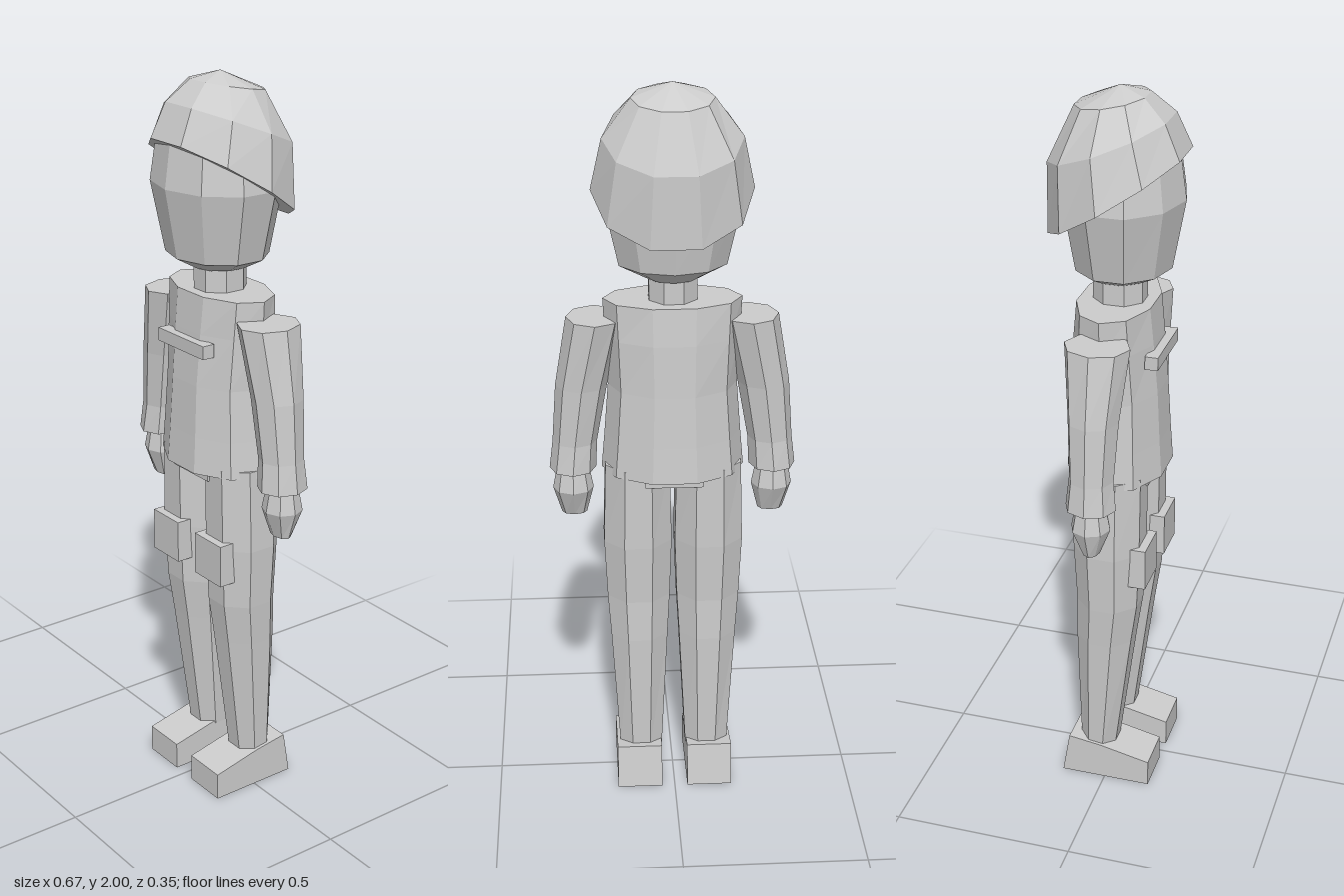
import * as THREE from 'three';

const grey = new THREE.MeshStandardMaterial({ color: 0xcccccc, flatShading: true });
grey.name = 'plain grey';

// Closed solid through elliptical rings, listed from bottom to top.
// ring: [y, centreX, centreZ, radiusX, radiusZ, tilt], tilt = rise in y per unit of z
function loft(rings, sides, phase = 0) {
  const pos = [];
  const point = ([y, cx, cz, rx, rz, tilt = 0], i) => {
    const a = phase + (i / sides) * Math.PI * 2;
    const z = cz + rz * Math.sin(a);
    return [cx + rx * Math.cos(a), y + tilt * z, z];
  };
  const centre = ([y, cx, cz, , , tilt = 0]) => [cx, y + tilt * cz, cz];
  const first = rings[0], last = rings[rings.length - 1];
  for (let i = 0; i < sides; i++) {
    for (let j = 0; j < rings.length - 1; j++) {
      const a = point(rings[j], i), b = point(rings[j], i + 1);
      const c = point(rings[j + 1], i), d = point(rings[j + 1], i + 1);
      pos.push(...a, ...c, ...b, ...b, ...c, ...d);
    }
    pos.push(...centre(first), ...point(first, i), ...point(first, i + 1));
    pos.push(...centre(last), ...point(last, i + 1), ...point(last, i));
  }
  const geo = new THREE.BufferGeometry();
  geo.setAttribute('position', new THREE.Float32BufferAttribute(pos, 3));
  geo.computeVertexNormals();
  return geo;
}

function box(w, h, d, x, y, z) {
  return new THREE.BoxGeometry(w, h, d).translate(x, y, z);
}

// Wedge shoe: side profile (z, y) extruded across x
function shoe(x, width) {
  const profile = [[-0.125, 0], [0.13, 0], [0.13, 0.077], [-0.01, 0.108], [-0.105, 0.122]];
  const shape = new THREE.Shape(profile.map(([z, y]) => new THREE.Vector2(z, y)));
  return new THREE.ExtrudeGeometry(shape, { depth: width, bevelEnabled: false })
    .rotateY(-Math.PI / 2)
    .translate(x + width / 2, 0, 0);
}

export function createModel() {
  const model = new THREE.Group();
  model.name = 'figure';
  const add = (name, geometry) => {
    const mesh = new THREE.Mesh(geometry, grey);
    mesh.name = name;
    model.add(mesh);
  };

  // Head, with a vertex on the centre line of the face
  add('head', loft([
    [1.5, 0, 0, 0.075, 0.075],
    [1.535, 0, 0.01, 0.147, 0.128],
    [1.72, 0, 0.012, 0.19, 0.16],
    [1.84, 0, 0.01, 0.172, 0.145],
    [1.93, 0, -0.015, 0.1, 0.08],
  ], 10, Math.PI / 2));

  // Cap, tipped towards the back of the head
  add('cap', loft([
    [1.73, 0, -0.002, 0.21, 0.18, 0.64],
    [1.875, 0, -0.023, 0.18, 0.16, 0.4],
    [1.968, 0, -0.02, 0.106, 0.095, 0.17],
    [2, 0, 0, 0, 0],
  ], 10));

  add('neck', loft([
    [1.4, 0, 0, 0.068, 0.072],
    [1.52, 0, 0, 0.068, 0.072],
  ], 8, Math.PI / 8));

  // Jacket
  add('torso', loft([
    [0.96, 0, 0, 0.192, 0.138],
    [1.06, 0, 0, 0.183, 0.131],
    [1.2, 0, 0, 0.172, 0.123],
    [1.34, 0, -0.003, 0.178, 0.114],
    [1.44, 0, -0.003, 0.183, 0.104],
  ], 10));
  add('chestStrip', box(0.2, 0.036, 0.035, 0, 1.307, 0.112));
  add('pelvis', box(0.155, 0.07, 0.2, 0, 0.97, 0));

  for (const [side, s] of [['left', 1], ['right', -1]]) {
    // Sleeve, flared at the cuff
    add(side + 'Arm', loft([
      [0.96, s * 0.27, 0, 0.063, 0.068],
      [1.04, s * 0.263, 0, 0.06, 0.06],
      [1.2, s * 0.243, 0, 0.069, 0.068],
      [1.39, s * 0.205, 0, 0.075, 0.087],
    ], 8));
    add(side + 'Hand', loft([
      [0.825, s * 0.268, 0.002, 0.034, 0.022],
      [0.9, s * 0.27, 0, 0.055, 0.053],
      [0.97, s * 0.27, 0, 0.042, 0.04],
    ], 8));

    // Trouser leg, swept back at the ankle
    add(side + 'Leg', loft([
      [0.1, s * 0.093, -0.03, 0.064, 0.055],
      [0.46, s * 0.095, -0.01, 0.085, 0.084],
      [0.58, s * 0.096, 0, 0.093, 0.092],
      [0.75, s * 0.097, 0, 0.1, 0.1],
      [0.98, s * 0.096, 0, 0.094, 0.102],
    ], 8, Math.PI / 8));
    add(side + 'ThighPocket', box(0.115, 0.118, 0.05, s * 0.097, 0.716, 0.09));
    add(side + 'Shoe', shoe(s * 0.099, 0.126));
  }
  return model;
}
